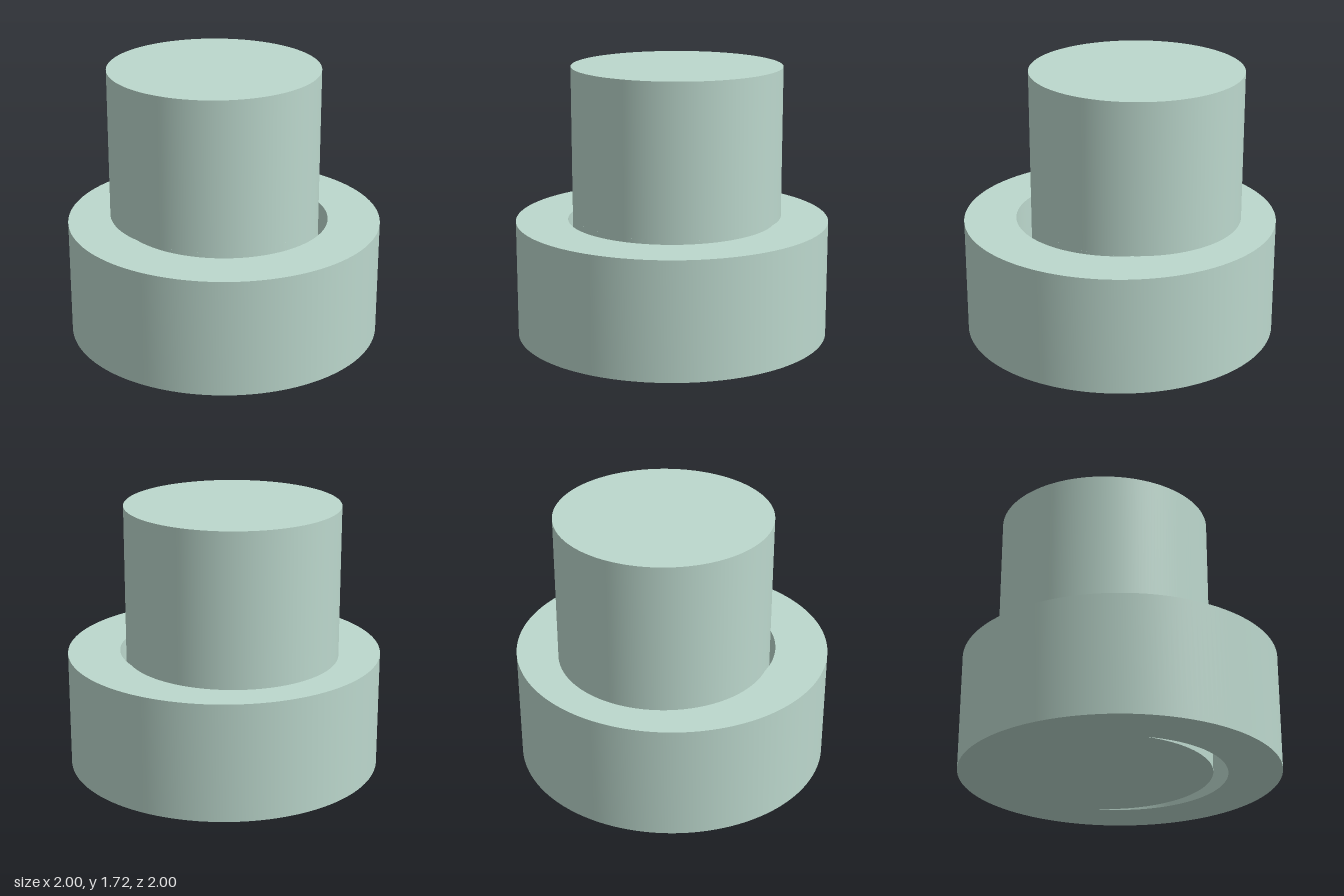
import * as THREE from 'three';
import { toCreasedNormals } from 'three/addons/utils/BufferGeometryUtils.js';

const BASE_HEIGHT = 0.75, TOP = 1.72;
const SHAFT_RADIUS = 0.675, SHAFT_Z = -0.105;
// The bore meets the offset shaft exactly at its widest points
const BORE_RADIUS = Math.sqrt(SHAFT_RADIUS ** 2 - SHAFT_Z ** 2);

export function createModel() {
  const group = new THREE.Group();
  const material = new THREE.MeshStandardMaterial({ color: 0xbcd8cd });

  // Round base with a crescent slot left open in front of the shaft
  const outline = new THREE.Shape();
  outline.absarc(0, 0, 1, 0, Math.PI * 2, false);
  const tip = Math.atan2(-SHAFT_Z, BORE_RADIUS);
  const slot = new THREE.Path();
  slot.absarc(0, 0, BORE_RADIUS, 0, Math.PI, false);
  slot.absarc(0, SHAFT_Z, SHAFT_RADIUS, Math.PI - tip, tip, true);
  outline.holes.push(slot);
  const baseGeometry = new THREE.ExtrudeGeometry(outline, {
    depth: BASE_HEIGHT, bevelEnabled: false, curveSegments: 96,
  });
  baseGeometry.rotateX(Math.PI / 2).translate(0, BASE_HEIGHT, 0);
  const base = new THREE.Mesh(toCreasedNormals(baseGeometry, Math.PI / 6), material);
  base.name = 'base';
  group.add(base);

  // Shaft rising from the base, set towards the back
  const height = TOP - BASE_HEIGHT;
  const wall = new THREE.Mesh(
    new THREE.CylinderGeometry(SHAFT_RADIUS, SHAFT_RADIUS, height, 192, 1, true), material);
  wall.name = 'shaftWall';
  const cap = new THREE.Mesh(new THREE.CircleGeometry(SHAFT_RADIUS, 192).rotateX(-Math.PI / 2), material);
  cap.name = 'shaftTop';
  cap.position.y = height / 2;
  const shaft = new THREE.Group();
  shaft.name = 'shaft';
  shaft.add(wall, cap);
  shaft.position.set(0, BASE_HEIGHT + height / 2, SHAFT_Z);
  group.add(shaft);

  return group;
}
